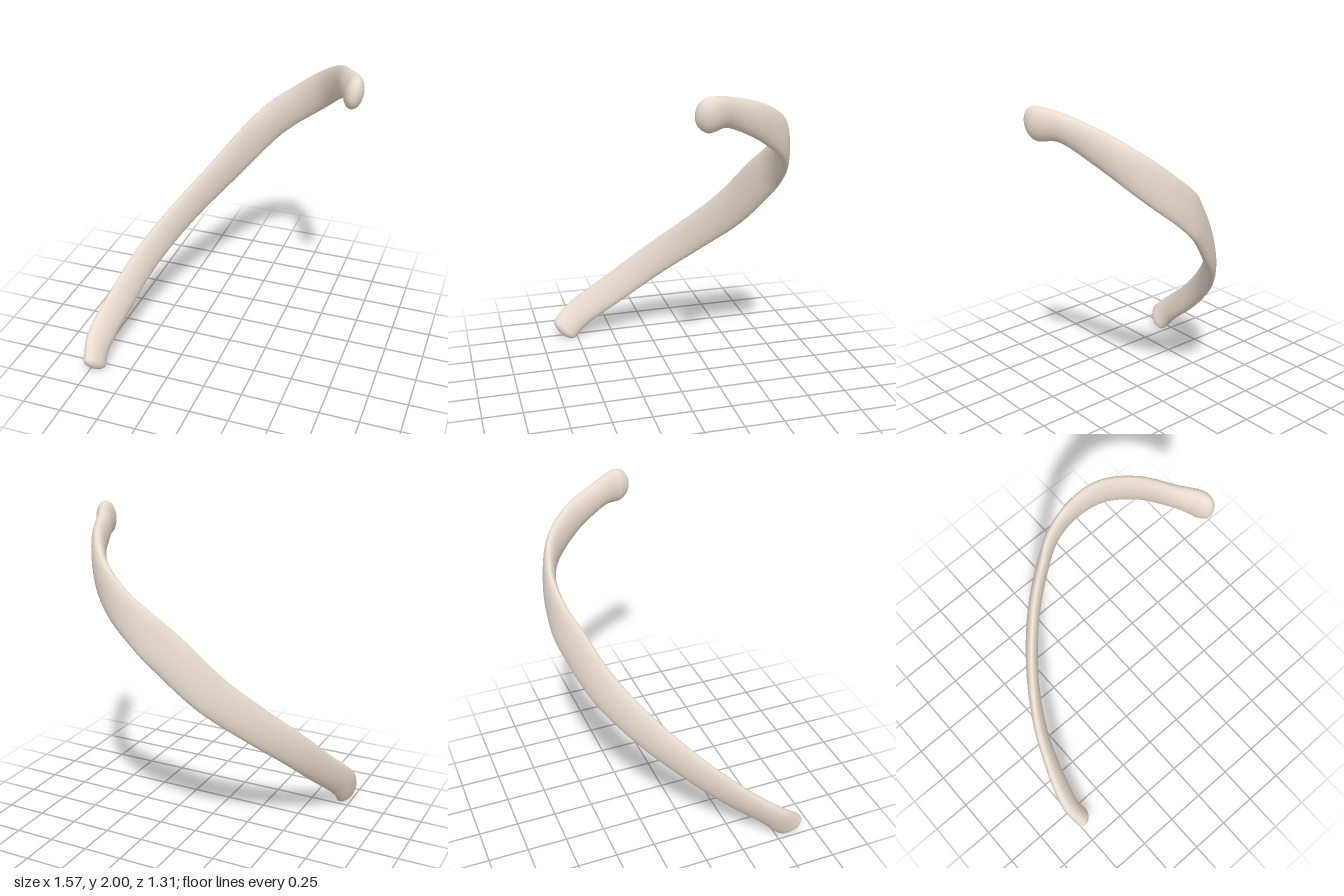
import * as THREE from 'three';

// Stations along the bone: centre x, y, z, half height, half thickness,
// outward lean of the top edge in degrees
const STATIONS = [
  [-0.705, 0.043, 0.615, 0.095, 0.055, 27],
  [-0.720, 0.185, 0.470, 0.100, 0.047, 25],
  [-0.655, 0.375, 0.230, 0.102, 0.040, 18],
  [-0.560, 0.575, 0.005, 0.106, 0.038, 8],
  [-0.400, 0.800, -0.230, 0.112, 0.038, -2],
  [-0.200, 1.035, -0.430, 0.120, 0.039, -8],
  [0.000, 1.280, -0.553, 0.122, 0.039, -10],
  [0.140, 1.425, -0.603, 0.116, 0.038, -9],
  [0.300, 1.555, -0.595, 0.108, 0.039, -6],
  [0.450, 1.690, -0.515, 0.106, 0.042, -2],
  [0.570, 1.810, -0.350, 0.098, 0.044, 2],
  [0.655, 1.890, -0.150, 0.085, 0.048, 6],
  [0.720, 1.900, -0.025, 0.100, 0.057, 8],
  [0.735, 1.895, 0.070, 0.102, 0.054, 8],
];
const RINGS = 110, SIDES = 28;
const curveOf = (from, to) => new THREE.CatmullRomCurve3(
  STATIONS.map((s) => new THREE.Vector3(...s.slice(from, to))), false, 'catmullrom', 0.5);

// Quarter-round closing of each end over a given length
const roundEnd = (distance, length) => {
  const d = Math.min(distance / length, 1);
  return Math.sqrt(1 - (1 - d) ** 2);
};

// Flattened oval section swept along the curved shaft
function ribGeometry() {
  const path = curveOf(0, 3), sections = curveOf(3, 6);
  const start = path.getPoint(0), end = path.getPoint(1);
  const up = new THREE.Vector3(0, 1, 0);
  const positions = [], indices = [];

  for (let i = 0; i <= RINGS; i++) {
    const u = (1 - Math.cos(Math.PI * i / RINGS)) / 2; // rings gather at the ends
    const centre = path.getPoint(u), tangent = path.getTangent(u);
    const section = sections.getPoint(u);
    const inward = new THREE.Vector3().crossVectors(tangent, up).normalize();
    const tall = new THREE.Vector3().crossVectors(inward, tangent);
    const lean = -THREE.MathUtils.degToRad(section.z);
    tall.applyAxisAngle(tangent, lean);
    inward.applyAxisAngle(tangent, lean);
    const k = roundEnd(centre.distanceTo(start), 0.045) * roundEnd(centre.distanceTo(end), 0.09);
    for (let j = 0; j < SIDES; j++) {
      const a = 2 * Math.PI * j / SIDES;
      const p = centre.clone()
        .addScaledVector(inward, Math.cos(a) * section.y * k)
        .addScaledVector(tall, Math.sin(a) * section.x * k);
      positions.push(p.x, p.y, p.z);
      if (i < RINGS) {
        const n = (j + 1) % SIDES, r = i * SIDES, q = r + SIDES;
        indices.push(r + j, q + j, r + n, r + n, q + j, q + n);
      }
    }
  }
  const geometry = new THREE.BufferGeometry();
  geometry.setAttribute('position', new THREE.Float32BufferAttribute(positions, 3));
  geometry.setIndex(indices);
  geometry.computeVertexNormals();
  return geometry;
}

export function createModel() {
  const group = new THREE.Group();
  group.name = 'rib';
  const bone = new THREE.Mesh(ribGeometry(), new THREE.MeshStandardMaterial({ color: 0xe8dccf }));
  bone.name = 'ribBone';
  group.add(bone);
  return group;
}
